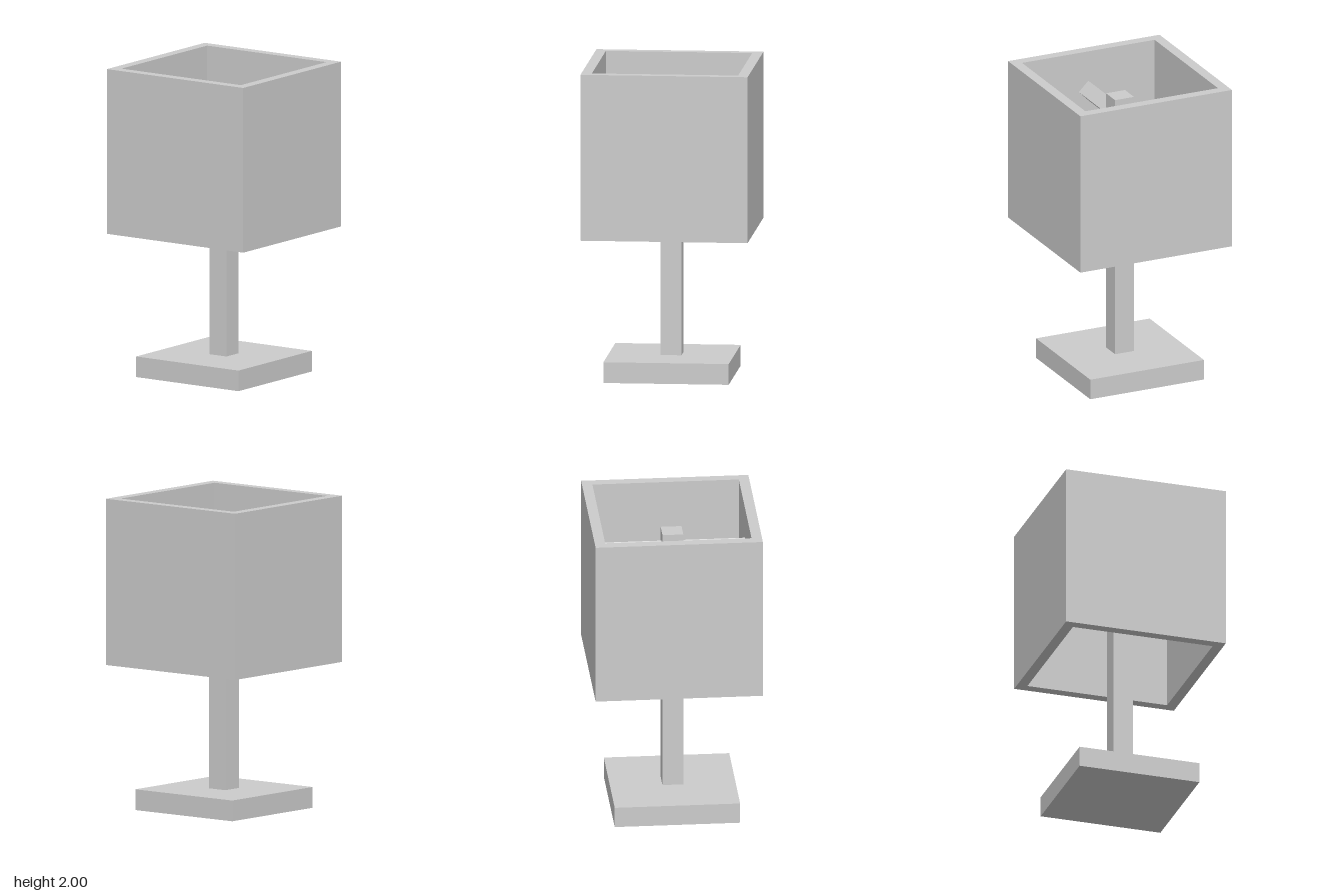
import * as THREE from 'three';

const material = new THREE.MeshStandardMaterial({ color: 0xcccccc, flatShading: true });
const U = 1 / 15; // module that all sizes are multiples of

function add(group, name, geometry, y) {
  const mesh = new THREE.Mesh(geometry, material);
  mesh.name = name;
  mesh.position.y = y;
  group.add(mesh);
  return mesh;
}

// Square outline centred on the origin
function square(half, Type) {
  return new Type([[-1, -1], [1, -1], [1, 1], [-1, 1]]
    .map(([x, y]) => new THREE.Vector2(x * half, y * half)));
}

export function createModel() {
  const lamp = new THREE.Group();
  lamp.name = 'tableLamp';

  // Square foot and the post that rises into the shade
  add(lamp, 'base', new THREE.BoxGeometry(12 * U, 2 * U, 12 * U), U);
  add(lamp, 'post', new THREE.BoxGeometry(2 * U, 26 * U, 2 * U), 15 * U);

  // Cubic shade, open at top and bottom
  const outline = square(8 * U, THREE.Shape);
  outline.holes.push(square(7 * U, THREE.Path));
  const shade = new THREE.ExtrudeGeometry(outline, { depth: 16 * U, bevelEnabled: false });
  shade.rotateX(-Math.PI / 2);
  add(lamp, 'shade', shade, 14 * U);

  // Four-sided crossbar, set on edge, joining the post to the shade walls
  const bar = new THREE.CylinderGeometry(U, U, 14.5 * U, 4);
  bar.rotateZ(Math.PI / 2);
  add(lamp, 'crossbar', bar, 26 * U);

  return lamp;
}
